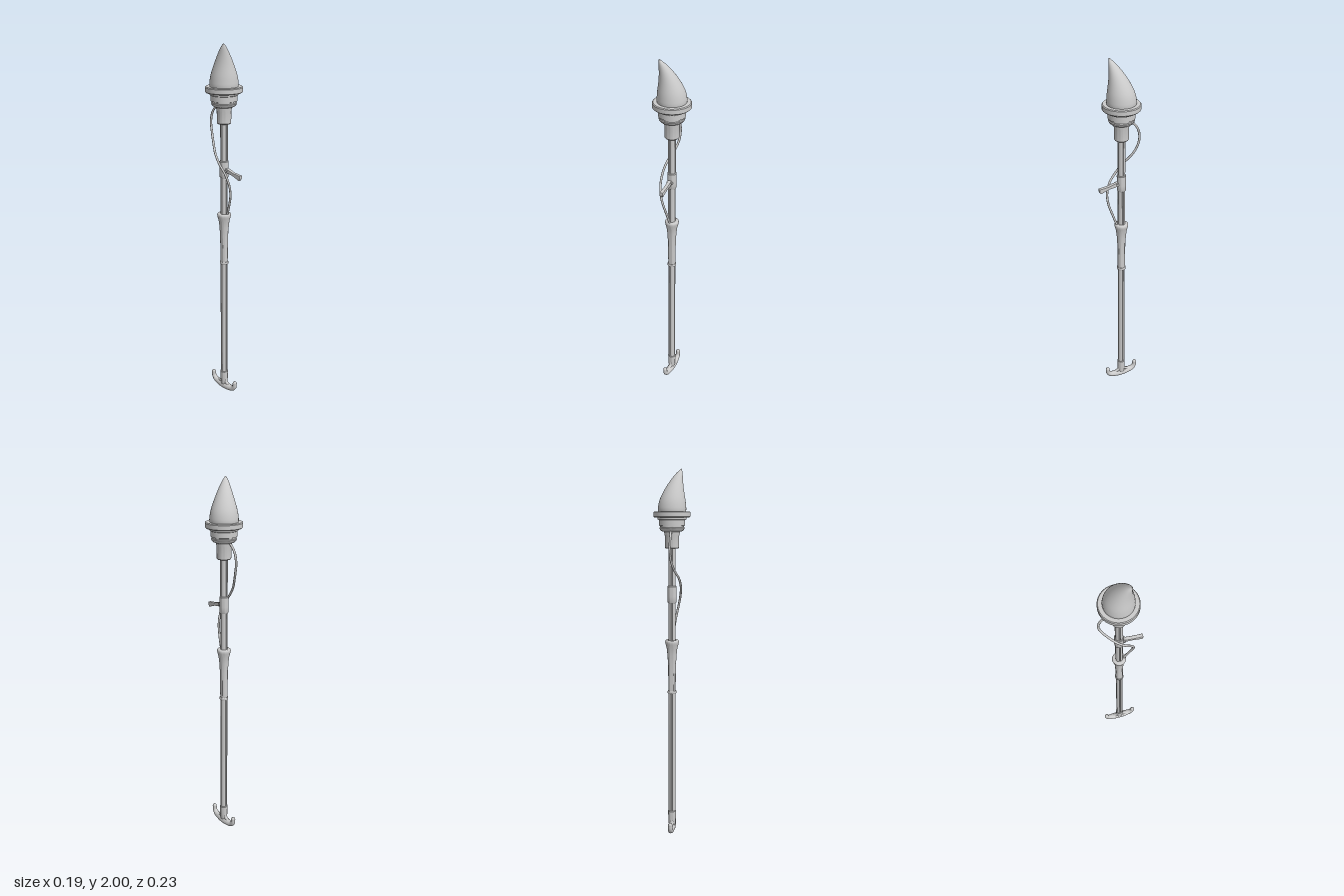
import * as THREE from 'three';
import { mergeVertices, toCreasedNormals } from 'three/addons/utils/BufferGeometryUtils.js';

const AXIS_Z = -0.012; // the pole stands slightly behind the origin
const material = new THREE.MeshStandardMaterial({ color: 0xcccccc });
const V = (x, y, z) => new THREE.Vector3(x, y, z);

function part(parent, name, geometry) {
  const mesh = new THREE.Mesh(geometry, material);
  mesh.name = name;
  parent.add(mesh);
  return mesh;
}

// Turned part from [radius, height] pairs, listed from the bottom up
function turned(points, crease = 0.6) {
  const lathe = new THREE.LatheGeometry(points.map(([r, y]) => new THREE.Vector2(r, y)), 40);
  return toCreasedNormals(lathe, crease);
}

// Round pole with four lengthwise grooves
function groovedPole(bottom, top) {
  const shape = new THREE.Shape();
  const steps = 64;
  for (let i = 0; i < steps; i++) {
    const a = (i / steps) * Math.PI * 2;
    const inGroove = Math.abs(Math.cos(2 * a)) > 0.94;
    const r = inGroove ? 0.0145 : 0.0195;
    shape[i ? 'lineTo' : 'moveTo'](r * Math.cos(a), r * Math.sin(a));
  }
  const geo = new THREE.ExtrudeGeometry(shape, { depth: top - bottom, bevelEnabled: false });
  return geo.rotateX(-Math.PI / 2).translate(0, bottom, 0);
}

// Smooth cone whose rings drift diagonally towards an off-centre tip
function bentTip(base, height) {
  const radius = new THREE.SplineCurve([[0.073, 0], [0.073, 0.1], [0.065, 0.3], [0.043, 0.6], [0.02, 0.86], [0.004, 0.985], [0, 1]]
    .map(p => new THREE.Vector2(...p)));
  const lathe = new THREE.LatheGeometry(radius.getPoints(40), 48);
  const geo0 = lathe.deleteAttribute('uv').deleteAttribute('normal');
  const pos = geo0.attributes.position;
  for (let i = 0; i < pos.count; i++) {
    const t = pos.getY(i);
    const drift = 0.044 * Math.pow(Math.max(t, 0), 2.2);
    pos.setXYZ(i, pos.getX(i) - drift, base + height * t, pos.getZ(i) + drift);
  }
  const geo = mergeVertices(geo0, 1e-5);
  geo.computeVertexNormals();
  return geo;
}

// Tube whose radius follows a rule of the position along it
function taperedTube(curve, rule, segments = 64, sides = 18) {
  const geo = new THREE.TubeGeometry(curve, segments, 1, sides, false);
  const pos = geo.attributes.position, p = V(0, 0, 0);
  for (let i = 0; i < pos.count; i++) {
    const t = Math.floor(i / (sides + 1)) / segments;
    const centre = curve.getPointAt(t);
    p.fromBufferAttribute(pos, i).sub(centre).multiplyScalar(rule(t)).add(centre);
    pos.setXYZ(i, p.x, p.y, p.z);
  }
  geo.computeVertexNormals();
  return geo;
}

export function createModel() {
  const model = new THREE.Group();
  model.name = 'staff';
  const staff = new THREE.Group();
  staff.name = 'staffBody';
  staff.position.z = AXIS_Z;
  model.add(staff);

  part(staff, 'pole', groovedPole(0.1, 1.62));

  // Head: socket, stepped cup, flange and bent point
  part(staff, 'headSocket', turned([
    [0, 1.597], [0.034, 1.597], [0.037, 1.601], [0.037, 1.66], [0.041, 1.677], [0.041, 1.69], [0, 1.69]]));
  part(staff, 'headCup', turned([
    [0, 1.683], [0.048, 1.683], [0.056, 1.687], [0.063, 1.694], [0.066, 1.702],
    [0.063, 1.706], [0.063, 1.712], [0.068, 1.714], [0.068, 1.742], [0.074, 1.745], [0.074, 1.757], [0, 1.757]]));
  part(staff, 'headFlange', turned([
    [0, 1.756], [0.092, 1.756], [0.096, 1.76], [0.096, 1.782], [0.092, 1.786], [0, 1.786]]));
  part(staff, 'headPoint', bentTip(1.785, 0.215));

  // Sliding clamp with its lever
  part(staff, 'clamp', turned([
    [0.017, 1.31], [0.021, 1.31], [0.023, 1.313], [0.024, 1.345], [0.024, 1.397], [0.021, 1.401], [0.017, 1.401]]));
  const lever = new THREE.Group();
  lever.name = 'clampLever';
  lever.position.set(0, 1.357, 0.015);
  lever.rotation.x = 0.24;
  staff.add(lever);
  const bar = new THREE.Shape();
  bar.moveTo(0, -0.013).lineTo(0.06, -0.007).lineTo(0.108, -0.012)
    .quadraticCurveTo(0.114, 0, 0.108, 0.011).lineTo(0.06, 0.005).lineTo(0, 0.007);
  const barGeo = new THREE.ExtrudeGeometry(bar, {
    depth: 0.013, bevelThickness: 0.003, bevelSize: 0.002, bevelSegments: 2 });
  part(lever, 'leverBar', barGeo.translate(0, 0, -0.0065).rotateY(-Math.PI / 2));
  const pin = part(lever, 'leverPin', new THREE.CylinderGeometry(0.007, 0.007, 0.03, 16));
  pin.rotation.z = Math.PI / 2;
  pin.position.set(0, -0.002, 0.012);

  // Flared grip and the ring below it
  part(staff, 'grip', turned([
    [0.016, 0.825], [0.02, 0.825], [0.0205, 0.9], [0.022, 0.98], [0.025, 1.03], [0.029, 1.065],
    [0.035, 1.088], [0.037, 1.098], [0.036, 1.106], [0.031, 1.11], [0.017, 1.108]], 0.9));
  part(staff, 'gripRing', turned([
    [0.016, 0.812], [0.022, 0.812], [0.024, 0.815], [0.024, 0.824], [0.022, 0.827], [0.016, 0.827]]));

  // Foot: socket and double hook
  part(staff, 'footSocket', turned([
    [0, 0.012], [0.016, 0.014], [0.019, 0.04], [0.0215, 0.07], [0.022, 0.118], [0.019, 0.122], [0, 0.122]]));
  const half = [[0.09, 0.071], [0.087, 0.046], [0.07, 0.028], [0.038, 0.022]];
  const hookPath = new THREE.CatmullRomCurve3([
    ...half.map(([z, y]) => V(0, y, z)), V(0, 0.0205, 0),
    ...half.slice().reverse().map(([z, y]) => V(0, y, -z))]);
  const hookRadius = t => 0.012 + 0.0085 * Math.sin(Math.PI * t) ** 2;
  part(staff, 'footHook', taperedTube(hookPath, hookRadius));
  for (const side of [1, -1]) {
    const tip = part(staff, 'hookTip', new THREE.SphereGeometry(0.012, 18, 12));
    tip.position.set(0, 0.071, side * 0.09);
    // Fillet between socket and hook arm
    const fillet = new THREE.CatmullRomCurve3([
      V(0, 0.075, side * 0.01), V(0, 0.046, side * 0.018), V(0, 0.03, side * 0.045)]);
    part(staff, 'hookFillet', taperedTube(fillet, t => 0.011 - 0.002 * t, 16, 12));
  }

  // Loose cord running from the head, around the pole, into the grip
  const cord = new THREE.CatmullRomCurve3([
    V(0, 1.695, -0.035), V(0, 1.68, -0.067), V(0, 1.645, -0.098), V(0, 1.595, -0.111),
    V(-0.004, 1.54, -0.1), V(-0.018, 1.49, -0.074), V(-0.04, 1.44, -0.035), V(-0.046, 1.395, 0.0),
    V(-0.04, 1.345, 0.038), V(-0.028, 1.285, 0.057), V(-0.016, 1.23, 0.054),
    V(-0.007, 1.17, 0.036), V(0, 1.1, 0.012)]);
  part(model, 'cord', new THREE.TubeGeometry(cord, 120, 0.006, 10, false));

  return model;
}
